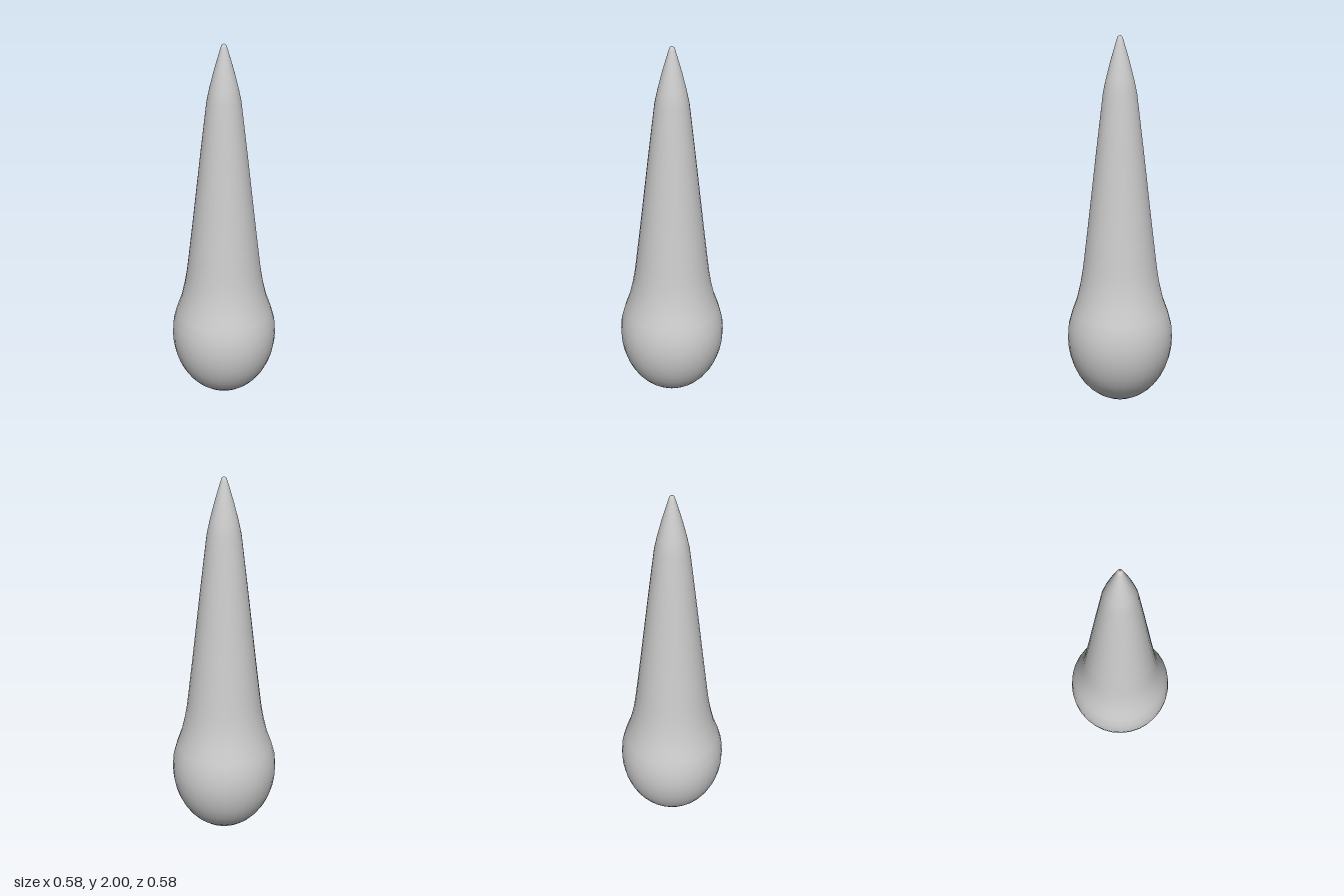
import * as THREE from 'three';

export function createModel() {
  const group = new THREE.Group();
  group.name = 'teardrop';

  const profile = [];
  // Rounded bulb: lower half of an ellipsoid, up to its widest ring
  const bulbRadius = 0.288, bulbHeight = 0.36, steps = 10;
  for (let i = 0; i <= steps; i++) {
    const a = (i / steps) * Math.PI / 2;
    profile.push(new THREE.Vector2(bulbRadius * Math.sin(a), bulbHeight * (1 - Math.cos(a))));
  }
  // Shoulder, long tapering neck and rounded tip
  const upper = [
    [0.283, 0.43], [0.264, 0.5], [0.237, 0.575], [0.217, 0.66], [0.205, 0.73], [0.196, 0.8],
    [0.172, 1.0], [0.149, 1.2], [0.126, 1.4], [0.09, 1.7], [0.075, 1.77], [0.052, 1.86],
    [0.033, 1.925], [0.018, 1.975], [0.012, 1.992], [0, 2],
  ];
  upper.forEach(([r, y]) => profile.push(new THREE.Vector2(r, y)));

  const body = new THREE.Mesh(
    new THREE.LatheGeometry(profile, 32),
    new THREE.MeshStandardMaterial({ color: 0xcccccc })
  );
  body.name = 'body';
  group.add(body);
  return group;
}
